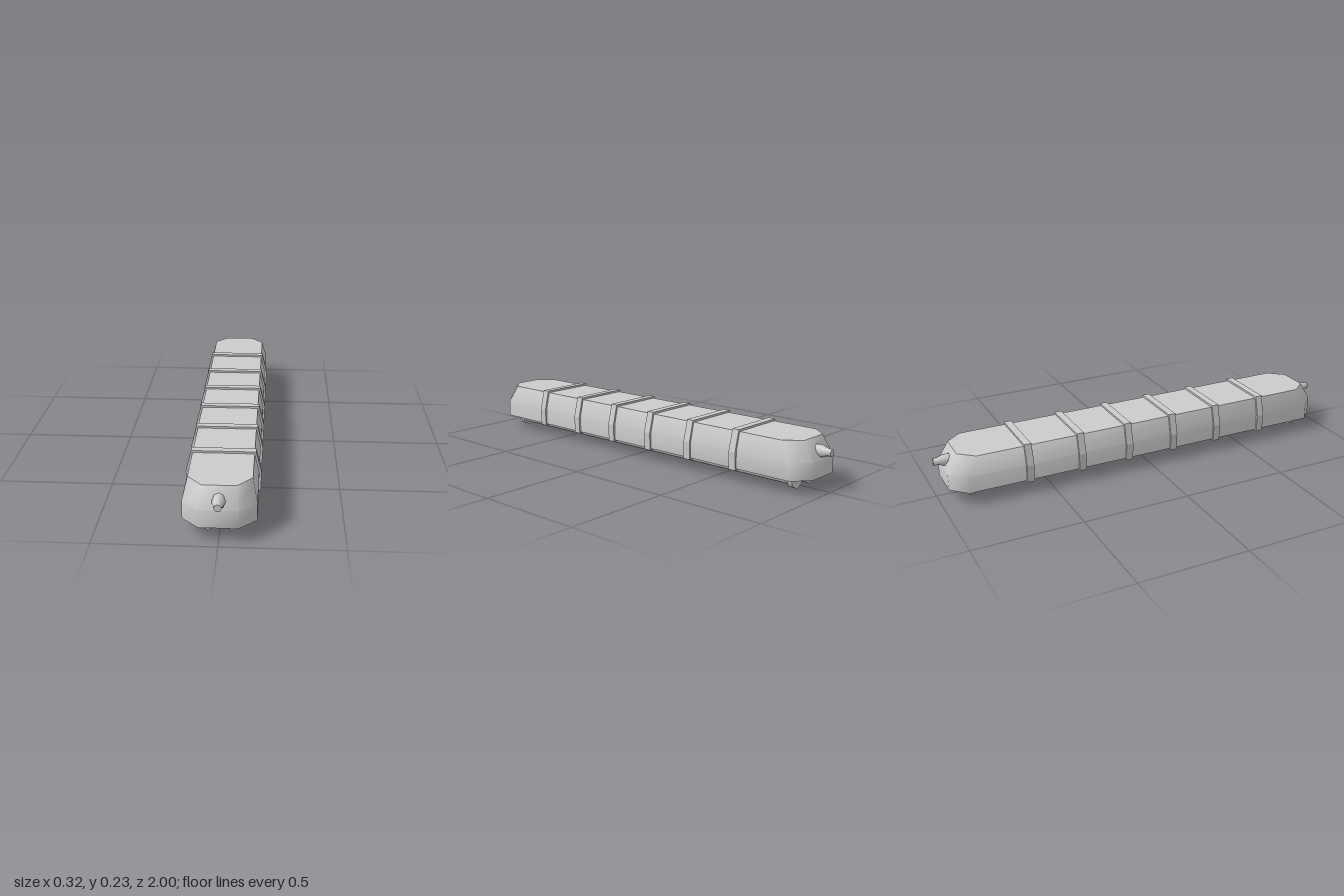
import * as THREE from 'three';
import { toCreasedNormals } from 'three/addons/utils/BufferGeometryUtils.js';

const material = new THREE.MeshStandardMaterial({ color: 0xcccccc });
const CREASE = 0.87;

function part(name, geometry, crease = CREASE) {
  const mesh = new THREE.Mesh(toCreasedNormals(geometry, crease), material);
  mesh.name = name;
  return mesh;
}

// Ring of a rectangle with cut corners, ordered from +z towards +x
function cutRing(w, l, y, cutX, cutZ) {
  const quarter = [[w - cutX, l], [w, l - cutZ]];
  const half = [...quarter, ...quarter.map(([x, z]) => [x, -z]).reverse()];
  return [...half, ...half.map(([x, z]) => [-x, -z])].map(([x, z]) => [x, y, z]);
}

// Joins rings from bottom to top and closes both ends with fans
function loft(rings) {
  const n = rings[0].length;
  const points = rings.flat();
  const index = [];
  for (let r = 0; r < rings.length - 1; r++) {
    for (let i = 0; i < n; i++) {
      const a = r * n + i, b = r * n + (i + 1) % n;
      index.push(a, b, b + n, a, b + n, a + n);
    }
  }
  const last = (rings.length - 1) * n;
  for (let i = 1; i < n - 1; i++) {
    index.push(0, i + 1, i, last, last + i, last + i + 1);
  }
  const g = new THREE.BufferGeometry();
  g.setAttribute('position', new THREE.Float32BufferAttribute(points.flat(), 3));
  g.setIndex(index);
  return g;
}

// Strap section: outer outline, then the inner one back with short lips below
function strapGeometry(width) {
  const right = [[0.1, 0.062], [0.1, 0.053], [0.157, 0.053], [0.16, 0.135], [0.136, 0.231]];
  const inner = [[0.125, 0.215], [0.145, 0.14], [0.145, 0.062]];
  const mirror = (list) => list.map(([x, y]) => [-x, y]).reverse();
  const outline = [...right, ...mirror(right), ...mirror(inner), ...inner];
  const shape = new THREE.Shape(outline.map(([x, y]) => new THREE.Vector2(x, y)));
  return new THREE.ExtrudeGeometry(shape, { depth: width, bevelEnabled: false })
    .translate(0, 0, -width / 2);
}

// Eight-sided rod along z with a corner pointing down
function rod(radius, length) {
  return new THREE.CylinderGeometry(radius, radius, length, 8).rotateX(Math.PI / 2);
}

export function createModel() {
  const model = new THREE.Group();
  model.name = 'stripLight';

  // Housing with straight lower walls and a tapering upper part
  model.add(part('housing', loft([
    cutRing(0.15, 0.96, 0.06, 0.07, 0.07),
    cutRing(0.15, 0.96, 0.138, 0.07, 0.07),
    cutRing(0.13, 0.91, 0.222, 0.06, 0.07),
  ])));

  // Straps over the housing
  for (const z of [0.117, 0.355, 0.607]) {
    for (const s of [1, -1]) {
      const strap = part('strap', strapGeometry(0.034), 0.2);
      strap.position.z = s * z;
      model.add(strap);
    }
  }

  // Twin tubes with end caps
  for (const s of [1, -1]) {
    const lamp = new THREE.Group();
    lamp.name = s > 0 ? 'leftLamp' : 'rightLamp';
    lamp.position.set(s * 0.049, 0.048, 0);
    lamp.add(part('tube', rod(0.036, 1.7)));
    for (const e of [1, -1]) {
      const cap = part('tubeCap', rod(0.048, 0.024));
      cap.position.z = e * 0.858;
      lamp.add(cap);
    }
    model.add(lamp);
  }

  // Cable connector on each end
  const profile = [[0, 0.9], [0.027, 0.9], [0.027, 0.955], [0.018, 0.98], [0.016, 1], [0, 1]]
    .map(([r, h]) => new THREE.Vector2(r, h));
  for (const s of [1, -1]) {
    const connector = part(s > 0 ? 'frontConnector' : 'backConnector',
      new THREE.LatheGeometry(profile, 8).rotateX(s * Math.PI / 2));
    connector.position.y = 0.17;
    model.add(connector);
  }

  return model;
}
